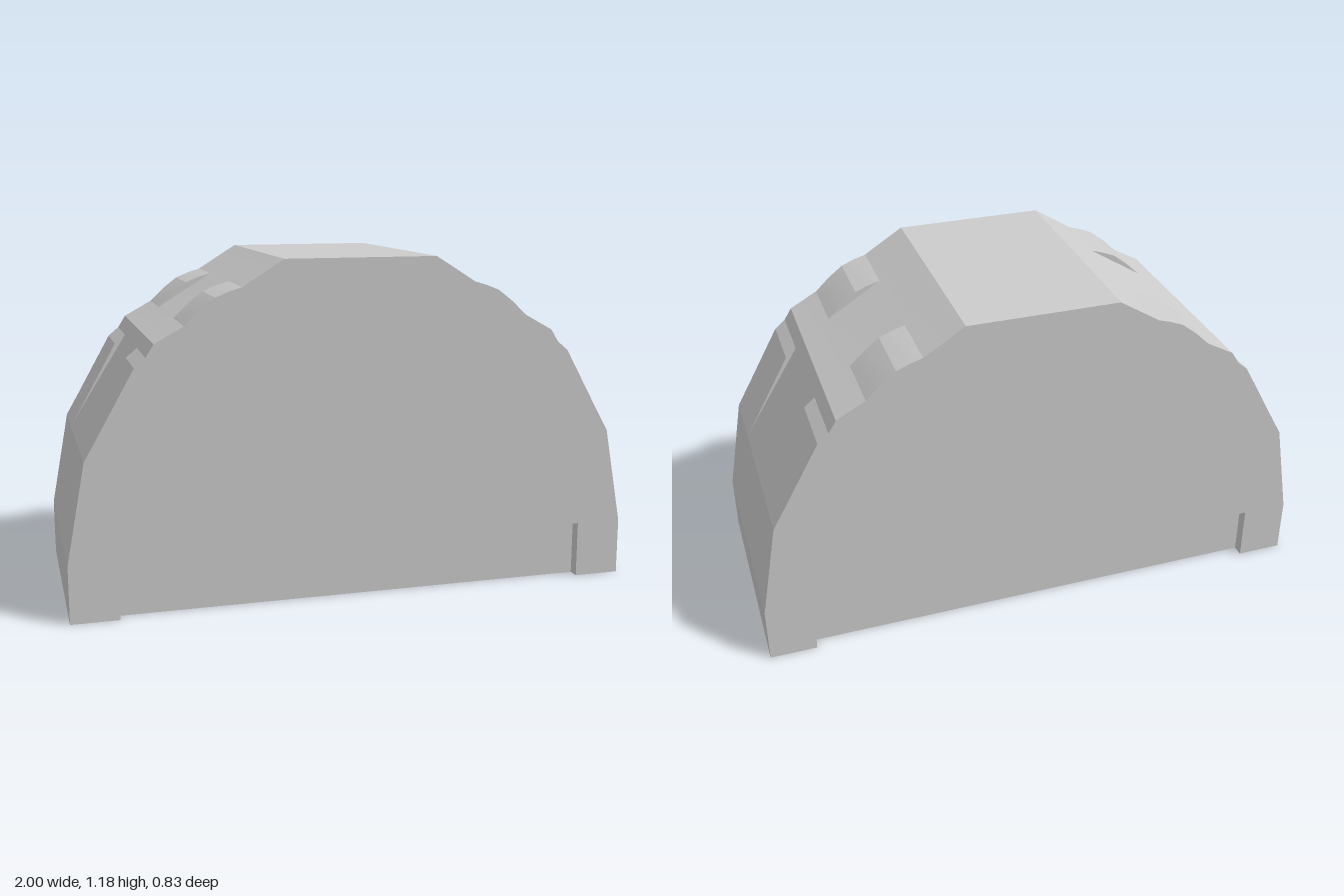
import * as THREE from 'three';
import { toCreasedNormals } from 'three/addons/utils/BufferGeometryUtils.js';

const DEPTH = 0.83;
const BASE_H = 0.2;
const material = new THREE.MeshStandardMaterial({ color: 0xcccccc });

// Extrudes an xy outline between two z positions
function slab(name, points, z0, z1) {
  const shape = new THREE.Shape(points.map(([x, y]) => new THREE.Vector2(x, y)));
  const raw = new THREE.ExtrudeGeometry(shape, { depth: z1 - z0, bevelEnabled: false });
  raw.translate(0, 0, z0);
  const mesh = new THREE.Mesh(toCreasedNormals(raw, 0.25), material);
  mesh.name = name;
  return mesh;
}

function block(name, w, d, x) {
  const mesh = new THREE.Mesh(new THREE.BoxGeometry(w, BASE_H, d), material);
  mesh.name = name;
  mesh.position.set(x, BASE_H / 2, 0);
  return mesh;
}

export function createModel() {
  const group = new THREE.Group();
  group.name = 'archedBlock';
  const half = DEPTH / 2;

  // Faceted arch body
  const side = [[1, BASE_H], [0.935, 0.545], [0.7, 0.92], [0.6, 0.975], [0.265, 1.185]];
  const mirrored = side.map(([x, y]) => [-x, y]).reverse();
  group.add(slab('archBody', [...side, ...mirrored], -half, half));

  // Base plate, set back between full-depth end blocks
  group.add(block('basePlate', 1.68, DEPTH - 0.08, 0));
  for (const s of [1, -1]) {
    group.add(block(s > 0 ? 'leftEndBlock' : 'rightEndBlock', 0.165, DEPTH, s * 0.9175));
  }

  // Raised pads: an upper and a lower one at the front and back of each slope
  const pads = {
    upperPad: [[0.6, 0.975], [0.55, 1.023], [0.497, 1.064], [0.45, 1.083], [0.4, 1.098], [0.38, 1.06], [0.57, 0.95]],
    lowerPad: [[0.935, 0.545], [0.895, 0.614], [0.765, 0.845], [0.727, 0.877], [0.68, 0.86], [0.87, 0.545]],
  };
  for (const [name, outline] of Object.entries(pads)) {
    for (const s of [1, -1]) {
      const points = outline.map(([x, y]) => [s * x, y]);
      group.add(slab(name, points, 0.18, half));
      group.add(slab(name, points, -half, -0.18));
    }
  }
  return group;
}
